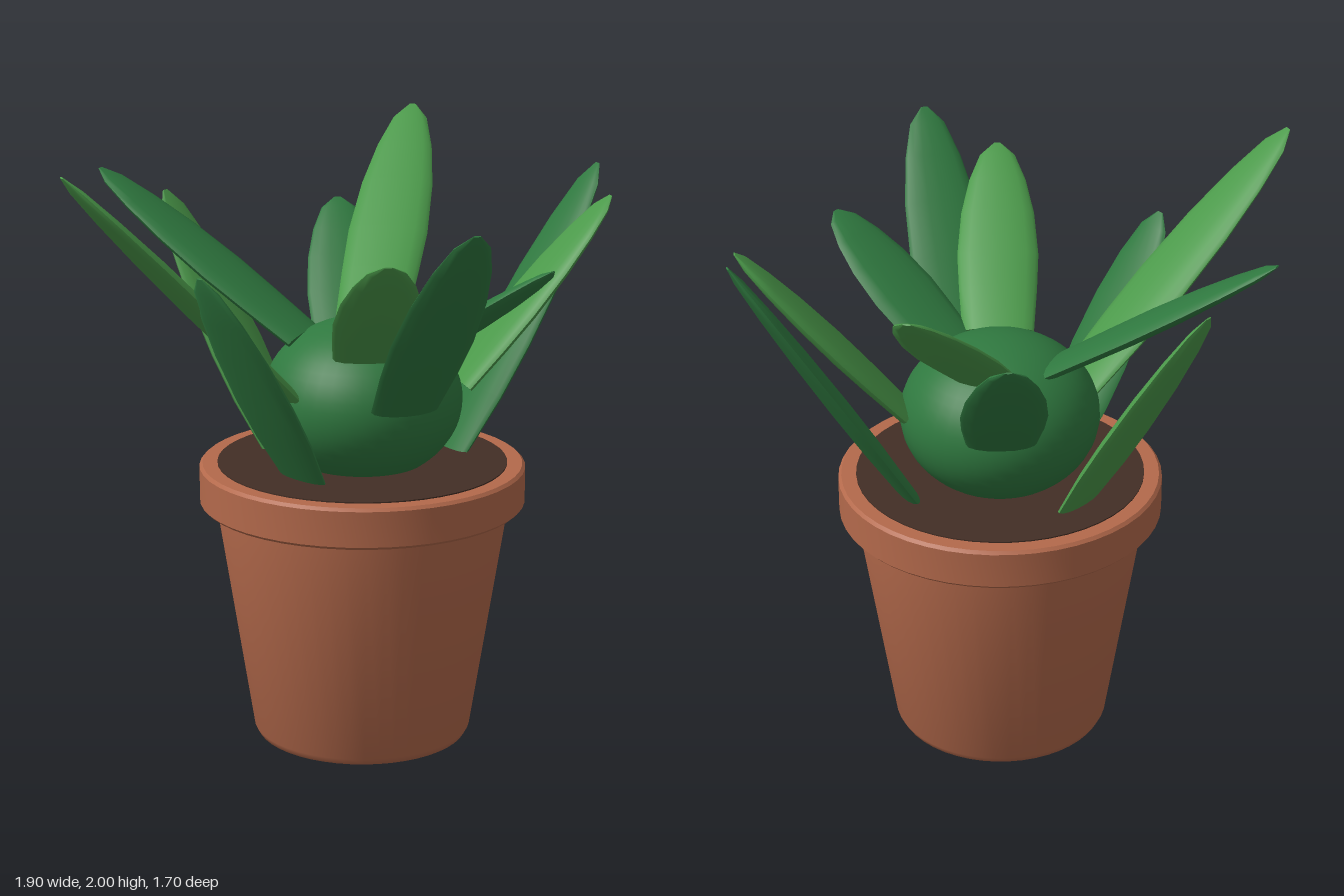
import * as THREE from 'three';
import { toCreasedNormals } from 'three/addons/utils/BufferGeometryUtils.js';

const CX = 0.01, CZ = 0.055; // axis of the pot

function material(name, color) {
  const m = new THREE.MeshStandardMaterial({ color });
  m.name = name;
  return m;
}

function lathe(points, segments, crease) {
  const profile = points.map(([r, y]) => new THREE.Vector2(r, y));
  return toCreasedNormals(new THREE.LatheGeometry(profile, segments), crease);
}

// Flattened spindle running from its base to a blunt pointed tip
function makeLeaf(name, base, tip, baseWidth, mat) {
  const a = new THREE.Vector3(...base);
  const d = new THREE.Vector3(...tip).sub(a);
  const length = d.length();
  const half = [[0, 0], [baseWidth / 2, 0], [0.132, 0.22], [0.138, 0.4], [0.125, 0.62],
    [0.097, 0.8], [0.06, 0.935], [0.012, 1], [0, 1]];
  const profile = half.map(([r, t]) => new THREE.Vector2(r, t * length));
  let geo = new THREE.LatheGeometry(profile, 16);
  geo.scale(1, 1, 0.24);
  geo = toCreasedNormals(geo, 0.7);
  const leaf = new THREE.Mesh(geo, mat);
  leaf.name = name;
  // broad face looks up and inward, edges lie level
  d.normalize();
  const side = new THREE.Vector3().crossVectors(d, new THREE.Vector3(0, 1, 0)).normalize();
  const face = new THREE.Vector3().crossVectors(side, d);
  leaf.quaternion.setFromRotationMatrix(new THREE.Matrix4().makeBasis(side, d, face));
  leaf.position.copy(a);
  return leaf;
}

export function createModel() {
  const group = new THREE.Group();
  group.name = 'pottedSucculent';
  const terracotta = material('terracotta', 0xb3694b);
  const earth = material('darkEarth', 0x432e25);
  const dark = material('darkGreen', 0x2f783f);
  const light = material('lightGreen', 0x4b994a);

  const add = (name, geo, mat, y = 0) => {
    const mesh = new THREE.Mesh(geo, mat);
    mesh.name = name;
    mesh.position.set(CX, y, CZ);
    group.add(mesh);
    return mesh;
  };

  // Pot body, rim and soil
  add('potBody', lathe([[0, 0], [0.335, 0], [0.355, 0.008], [0.367, 0.03],
    [0.49, 0.82], [0.49, 0.9]], 48, 0.9), terracotta);
  add('potRim', lathe([[0.46, 0.815], [0.533, 0.815], [0.543, 0.825], [0.543, 0.943],
    [0.533, 0.953], [0.46, 0.953]], 48, 0.6), terracotta);
  add('soil', new THREE.CylinderGeometry(0.483, 0.483, 0.05, 48), earth, 0.932);

  // Round heart of the plant
  add('heart', new THREE.SphereGeometry(0.332, 40, 28), dark, 1.17).scale.y = 0.82;

  // Three rings of leaves: base, tip, base width, colour
  const rings = {
    upperLeaf: [0.24, [
      [[-0.08, 1.37, -0.12], [-0.25, 1.88, -0.845], dark],
      [[0.17, 1.38, -0.03], [0.94, 1.985, -0.4], light],
      [[0.01, 1.34, 0.27], [0.01, 1.69, 0.785], dark],
      [[-0.15, 1.36, 0.2], [-0.61, 1.79, 0.6], light],
    ]],
    middleLeaf: [0.23, [
      [[-0.25, 1.21, -0.06], [-0.945, 2.0, -0.385], light],
      [[0.25, 1.21, 0.28], [0.66, 1.81, 0.6], light],
      [[-0.15, 1.21, 0.34], [-0.5, 1.895, 0.84], dark],
      [[0.24, 1.22, -0.15], [0.56, 1.7, -0.455], dark],
    ]],
    lowerLeaf: [0.2, [
      [[0.01, 0.93, -0.27], [0, 1.775, -0.775], light],
      [[0.31, 0.93, 0.19], [0.845, 1.875, 0.435], dark],
      [[-0.265, 0.93, 0.03], [-0.7, 1.685, -0.05], dark],
    ]],
  };
  for (const [name, [width, leaves]] of Object.entries(rings)) {
    leaves.forEach(([base, tip, mat], i) => {
      group.add(makeLeaf(name + (i + 1), base, tip, width, mat));
    });
  }
  return group;
}
